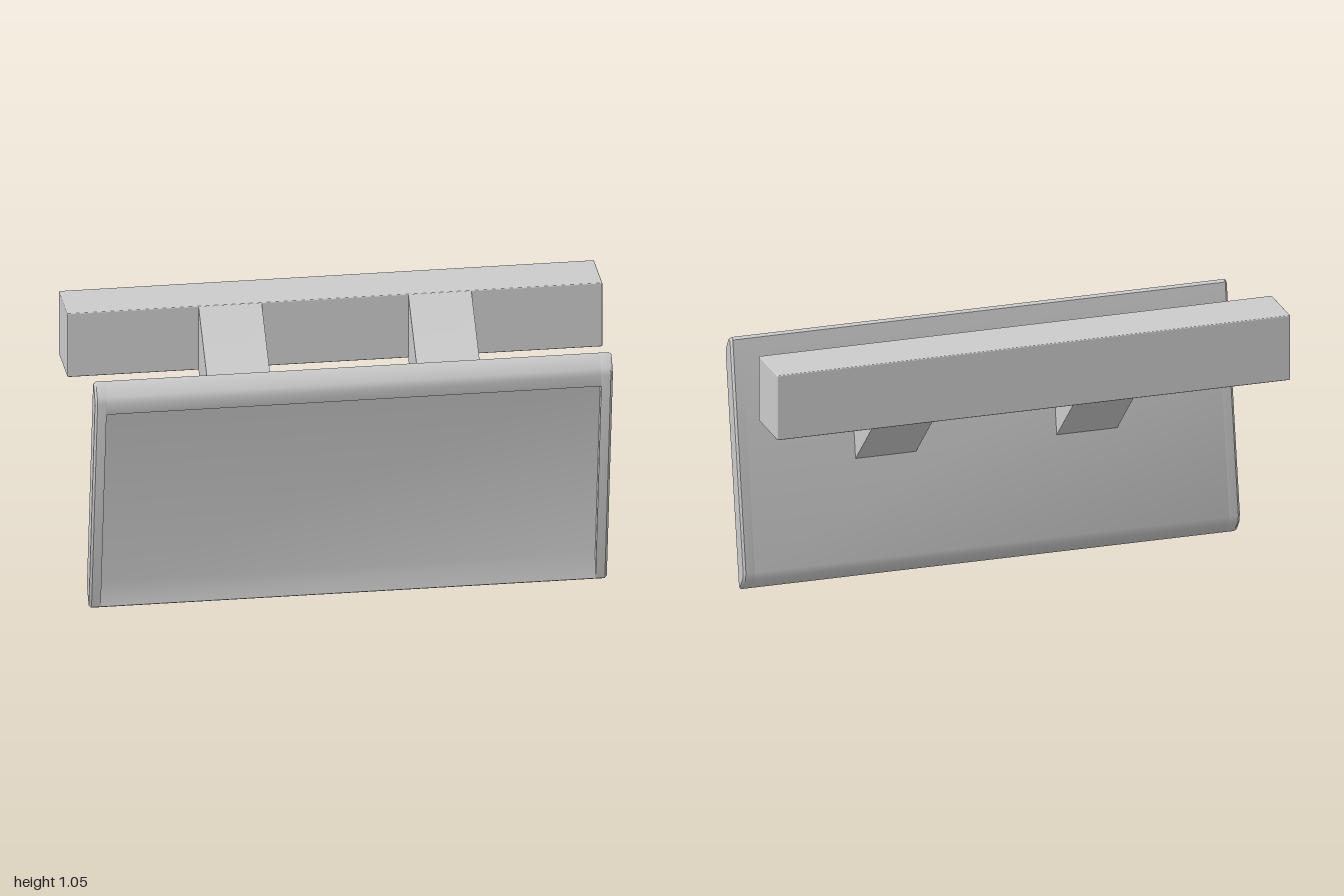
import * as THREE from 'three';
import { toCreasedNormals } from 'three/addons/utils/BufferGeometryUtils.js';
import { RoundedBoxGeometry } from 'three/addons/geometries/RoundedBoxGeometry.js';

const grey = new THREE.MeshStandardMaterial({ color: 0xcccccc });

// Extrude a side profile of [z, y] points from x0 to x1
function sideExtrude(points, x0, x1, steps = 1) {
  const shape = new THREE.Shape(points.map(([z, y]) => new THREE.Vector2(z, y)));
  const geo = new THREE.ExtrudeGeometry(shape, { depth: x1 - x0, bevelEnabled: false, steps });
  geo.rotateY(-Math.PI / 2);
  geo.translate(x1, 0, 0);
  return geo;
}

function addMesh(parent, name, geo, crease = 0.6) {
  const mesh = new THREE.Mesh(crease ? toCreasedNormals(geo, crease) : geo, grey);
  mesh.name = name;
  parent.add(mesh);
  return mesh;
}

export function createModel() {
  const model = new THREE.Group();
  model.name = 'tiltedPanelOnBar';

  // Tilted panel: back and chamfered ends shared by both profiles
  const bottom = [[0.2, 0.005], [0.192, 0], [0.185, 0.005], [0.142, 0.05], [0.136, 0.08]];
  const top = [[0.29, 0.95], [0.304, 0.957], [0.312, 0.952], [0.348, 0.91], [0.355, 0.885]];
  const recess = [[0.347, 0.84], [0.317, 0.845], [0.187, 0.1]];

  const panel = new THREE.Group();
  panel.name = 'panel';
  model.add(panel);

  // Recessed screen with its top lip and sloping bottom ledge
  addMesh(panel, 'screen', sideExtrude([...bottom, ...top, ...recess], -0.925, 0.925));

  // Side rims, with the outer edge slightly drawn in
  for (const side of [-1, 1]) {
    const [x0, x1] = side > 0 ? [0.925, 0.968] : [-0.968, -0.925];
    const geo = sideExtrude([...bottom, ...top], x0, x1, 5);
    const pos = geo.attributes.position;
    for (let i = 0; i < pos.count; i++) {
      if (Math.abs(pos.getX(i)) < 0.965) continue;
      const y = pos.getY(i);
      const mid = 0.245 + 0.176 * (y - 0.478);
      pos.setY(i, 0.478 + (y - 0.478) * 0.985);
      pos.setZ(i, mid + (pos.getZ(i) - mid) * 0.8);
    }
    addMesh(panel, side > 0 ? 'leftRim' : 'rightRim', geo);
  }

  // Horizontal mounting bar
  const bar = addMesh(model, 'mountingBar', new RoundedBoxGeometry(2, 0.256, 0.218, 2, 0.004), 0);
  bar.position.set(0, 0.918, -0.246);

  // Two sloping arms between bar and panel, ends buried slightly
  const arm = [[-0.16, 0.79], [-0.137, 0.79], [0.205, 0.457], [0.225, 0.46],
    [0.262, 0.69], [0.245, 0.7], [-0.137, 1.044], [-0.16, 1.044]];
  for (const side of [-1, 1]) {
    const x = side * 0.392;
    addMesh(model, side > 0 ? 'leftArm' : 'rightArm', sideExtrude(arm, x - 0.118, x + 0.118));
  }
  return model;
}
